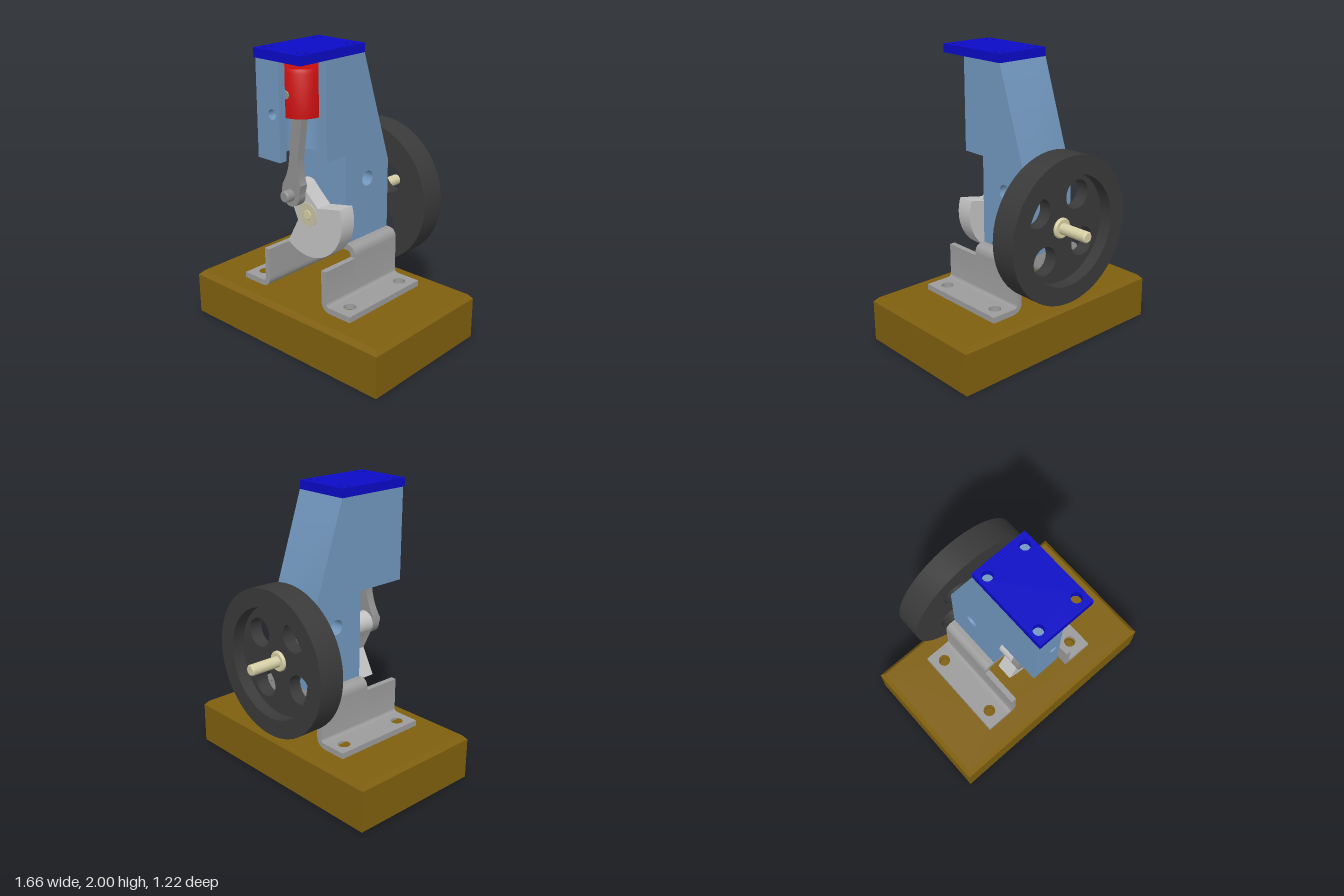
import * as THREE from 'three';
import { toCreasedNormals } from 'three/addons/utils/BufferGeometryUtils.js';

const mat = (name, color) => {
  const m = new THREE.MeshStandardMaterial({ color });
  m.name = name;
  return m;
};

export function createModel() {
  const model = new THREE.Group();
  const wood = mat('brown wood', 0x80600f), steel = mat('bracket grey', 0x9c9c9c);
  const blue = mat('block blue', 0x7298bf), navy = mat('head blue', 0x0b0bc8);
  const red = mat('piston red', 0xc80e0e), iron = mat('wheel black', 0x3a3a3a);
  const pale = mat('crank light grey', 0xc4c4c4), rodGrey = mat('rod grey', 0x919191);
  const tan = mat('shaft tan', 0xd6cfa6), tint = mat('hub beige', 0xc9c4a6);
  const CX = -0.01, CY = 0.89;      // crankshaft axis
  const BX = -0.015, BZ = 0.355;    // cylinder bore axis

  const add = (name, geo, material, parent = model) => {
    const mesh = new THREE.Mesh(toCreasedNormals(geo, 0.5), material);
    mesh.name = name;
    parent.add(mesh);
    return mesh;
  };
  const poly = pts => new THREE.Shape(pts.map(p => new THREE.Vector2(p[0], p[1])));
  const rect = (x0, y0, x1, y1) => poly([[x0, y0], [x1, y0], [x1, y1], [x0, y1]]);
  const hole = (shape, x, y, r) => {
    const p = new THREE.Path();
    p.absarc(x, y, r, 0, Math.PI * 2, true);
    shape.holes.push(p);
    return shape;
  };
  const extrude = (shape, depth) =>
    new THREE.ExtrudeGeometry(shape, { depth, bevelEnabled: false, curveSegments: 32 });
  // Extrusions: along z from a front-view shape, along y from an (x, z) shape, along x from a (z, y) shape
  const alongZ = (s, z0, z1) => extrude(s, z1 - z0).translate(0, 0, z0);
  const alongY = (s, y0, y1) => extrude(s, y1 - y0).rotateX(Math.PI / 2).translate(0, y1, 0);
  const alongX = (s, x0, x1) => extrude(s, x1 - x0).rotateY(-Math.PI / 2).translate(x1, 0, 0);
  const box = (x0, x1, y0, y1, z0, z1) => new THREE.BoxGeometry(x1 - x0, y1 - y0, z1 - z0)
    .translate((x0 + x1) / 2, (y0 + y1) / 2, (z0 + z1) / 2);
  // Round bar along z, with chamfered ends
  const bar = (x, y, r, z0, z1, c = 0.008) => new THREE.LatheGeometry(
    [[0, z0], [r - c, z0], [r, z0 + c], [r, z1 - c], [r - c, z1], [0, z1]]
      .map(p => new THREE.Vector2(...p)), 32).rotateX(Math.PI / 2).translate(x, y, 0);

  // Wooden base with chamfered top edge and screw holes
  const screws = [];
  for (const x of [-0.41, 0.385]) for (const z of [-0.155, 0.35]) screws.push([x, z]);
  add('base', box(-0.83, 0.83, 0, 0.29, -0.4, 0.61), wood);
  const topShape = rect(-0.83, -0.4, 0.83, 0.61);
  screws.forEach(([x, z]) => hole(topShape, x, z, 0.035));
  const topGeo = alongY(topShape, 0.29, 0.322);
  const pos = topGeo.attributes.position;
  for (let i = 0; i < pos.count; i++) {
    if (pos.getY(i) < 0.31) continue;
    const x = pos.getX(i), z = pos.getZ(i);
    if (Math.abs(x) > 0.82) pos.setX(i, Math.sign(x) * 0.8);
    if (z > 0.6) pos.setZ(i, 0.58);
    if (z < -0.39) pos.setZ(i, -0.375);
  }
  add('baseTop', topGeo, wood);

  // Bent sheet bracket: flanges, walls, and the bridge under the block
  const bracket = new THREE.Group();
  bracket.name = 'bracket';
  model.add(bracket);
  for (const s of [-1, 1]) {
    const X = u => CX + s * u;
    const wall = full => {
      const p = new THREE.Shape();
      p.moveTo(X(0.33), 0.322);
      p.quadraticCurveTo(X(0.242), 0.322, X(0.242), 0.4);
      if (full) {
        p.lineTo(X(0.242), 0.62);
        p.quadraticCurveTo(X(0.242), 0.65, X(0.21), 0.65);
        p.lineTo(X(0), 0.65);
        p.lineTo(X(0), 0.69);
        p.lineTo(X(0.22), 0.69);
        p.quadraticCurveTo(X(0.282), 0.69, X(0.282), 0.62);
      } else {
        p.lineTo(X(0.242), 0.61);
        p.lineTo(X(0.282), 0.61);
      }
      p.lineTo(X(0.282), 0.39);
      p.quadraticCurveTo(X(0.282), 0.363, X(0.31), 0.363);
      p.lineTo(X(0.33), 0.363);
      return p;
    };
    add('bracketWall', alongZ(wall(true), -0.25, 0.175), steel, bracket);
    add('bracketFrontWall', alongZ(wall(false), 0.175, 0.455), steel, bracket);
    const flange = rect(X(0.33), -0.25, X(0.487), 0.455);
    screws.filter(q => q[0] * s > 0).forEach(([x, z]) => hole(flange, x, z, 0.042));
    add('bracketFlange', alongY(flange, 0.322, 0.363), steel, bracket);
  }

  // Engine block: column with sloped back, and cut-away cylinder in front
  const block = new THREE.Group();
  block.name = 'block';
  model.add(block);
  const column = poly([[0.175, 0.69], [0.175, 1.94], [0, 1.94], [-0.25, 1.18], [-0.25, 0.69]]);
  add('column', alongX(hole(column, -0.04, 1.095, 0.052), -0.21, 0.19), blue, block);
  const cutZ = 0.466, R = 0.145;
  const cylinderShape = flat => {
    const p = new THREE.Shape();
    p.moveTo(-0.21, 0.175);
    p.lineTo(0.19, 0.175);
    p.lineTo(0.19, BZ);
    p.lineTo(BX + R, BZ);
    const end = flat ? -Math.PI - Math.asin((cutZ - BZ) / R) : -Math.PI * 1.5;
    p.absarc(BX, BZ, R, 0, end, true);
    if (!flat) p.lineTo(BX, 0.555);
    p.lineTo(-0.21, flat ? cutZ : 0.555);
    return p;
  };
  for (const [y0, y1, flat] of [[1.3, 1.55, false], [1.55, 1.65, true], [1.65, 1.94, false]])
    add('cylinder', alongY(cylinderShape(flat), y0, y1), blue, block);
  const port = hole(rect(-0.21, 1.55, BX, 1.65), -0.075, 1.6, 0.033);
  add('cylinderPort', alongZ(port, cutZ, 0.555), blue, block);

  // Cylinder head plate
  const head = rect(-0.21, 0, 0.19, 0.57);
  for (const x of [-0.155, 0.13]) for (const z of [0.07, 0.495]) hole(head, x, z, 0.034);
  add('headPlate', alongY(head, 1.94, 2), navy);

  // Hollow piston and wrist pin
  const skirt = [[0, 1.79], [0.12, 1.79], [0.12, 1.58], [0.143, 1.58], [0.143, 1.86], [0.13, 1.885], [0, 1.885]];
  add('piston', new THREE.LatheGeometry(skirt.map(p => new THREE.Vector2(...p)), 48)
    .translate(BX, 0, BZ), red);
  add('wristPin', bar(BX, 1.725, 0.03, 0.22, 0.5, 0.003), rodGrey);

  // Connecting rod
  const PX = -0.105, PY = 1.02;
  const rod = new THREE.Shape();
  rod.absarc(PX, PY, 0.08, Math.PI * 0.95, Math.PI * 2.05, false);
  rod.lineTo(-0.01, 1.1);
  rod.quadraticCurveTo(-0.035, 1.15, -0.033, 1.28);
  rod.lineTo(0.03, 1.71);
  rod.absarc(BX, 1.725, 0.045, 0, Math.PI, false);
  rod.lineTo(-0.108, 1.29);
  rod.quadraticCurveTo(-0.115, 1.2, -0.15, 1.13);
  rod.lineTo(-0.178, 1.08);
  add('connectingRod', alongZ(rod, 0.326, 0.385), rodGrey);
  add('crankPin', bar(PX, PY, 0.04, 0.19, 0.445), rodGrey);

  // Counterweighted crank web
  const deg = Math.PI / 180;
  const crank = new THREE.Shape();
  crank.absarc(CX, CY, 0.3, -128 * deg, 20 * deg, false);
  crank.lineTo(0.08, 0.955);
  crank.absarc(PX, PY, 0.08, 36 * deg, 216 * deg, false);
  crank.lineTo(-0.1, 0.83);
  add('crankWeb', alongZ(crank, 0.205, 0.324), pale);
  add('crankHub', bar(CX, CY, 0.082, 0.318, 0.327, 0.001), tint);

  // Crankshaft, front bushing and rear nut
  add('shaft', bar(CX, CY, 0.038, -0.605, 0.33), tan);
  add('bushing', bar(CX, CY, 0.08, 0.17, 0.206, 0.002), tan);
  add('wheelNut', bar(CX, CY, 0.07, -0.385, -0.35), tan);

  // Flywheel: pierced web, rim and hub
  const wheel = new THREE.Group();
  wheel.name = 'flywheel';
  model.add(wheel);
  const disc = r => {
    const p = new THREE.Shape();
    p.absarc(CX, CY, r, 0, Math.PI * 2, false);
    return p;
  };
  const web = disc(0.38);
  for (let i = 0; i < 4; i++) {
    const a = (36 + 90 * i) * deg;
    hole(web, CX + 0.245 * Math.cos(a), CY + 0.245 * Math.sin(a), 0.1);
  }
  add('wheelWeb', alongZ(web, -0.365, -0.27), iron, wheel);
  add('wheelRim', alongZ(hole(disc(0.505), CX, CY, 0.38), -0.455, -0.27), iron, wheel);
  add('wheelHub', bar(CX, CY, 0.12, -0.28, -0.25, 0.001), iron, wheel);

  return model;
}
